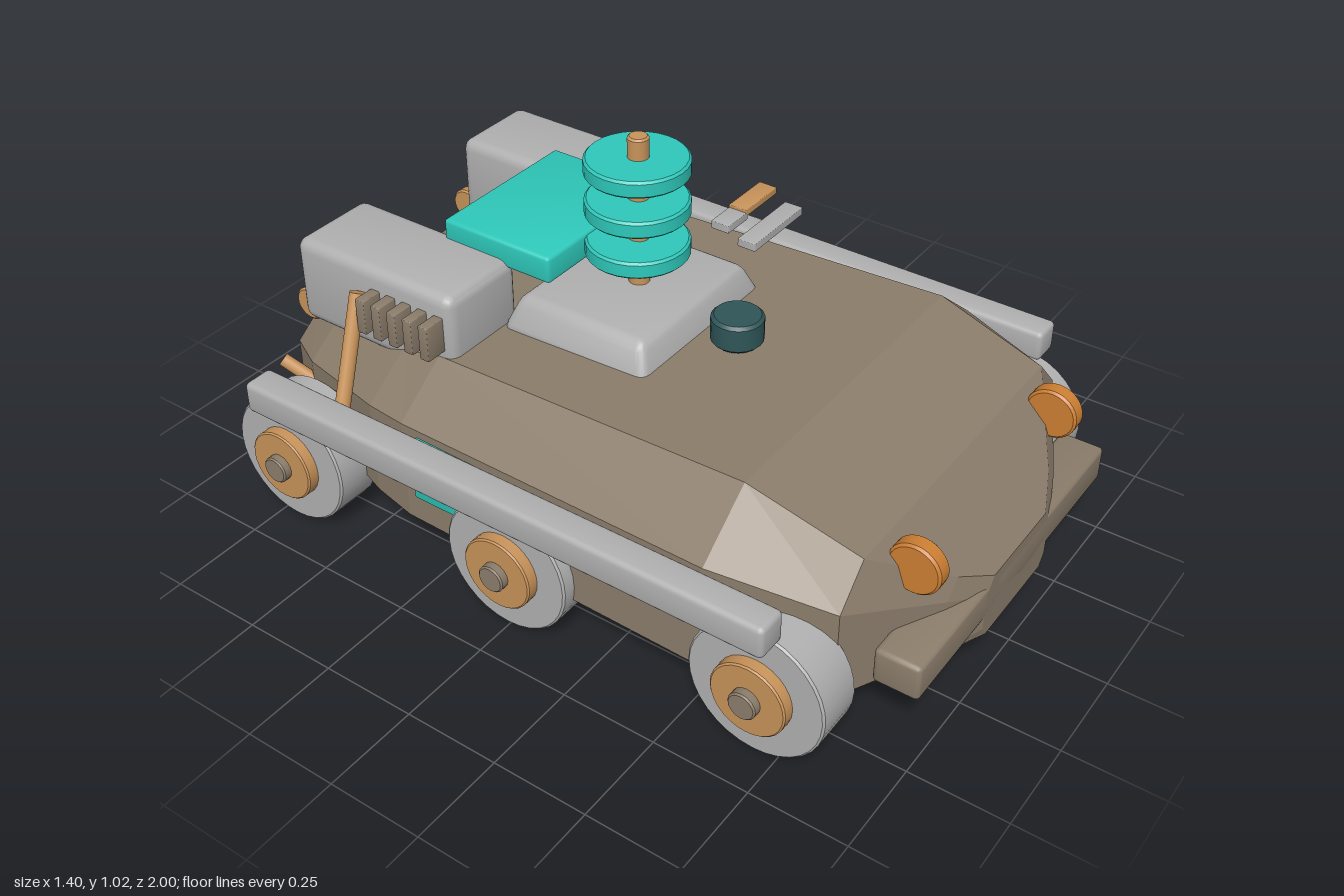
import * as THREE from 'three';
import { RoundedBoxGeometry } from 'three/addons/geometries/RoundedBoxGeometry.js';
import { toCreasedNormals } from 'three/addons/utils/BufferGeometryUtils.js';

const material = (name, color) => {
  const m = new THREE.MeshStandardMaterial({ color });
  m.name = name;
  return m;
};

export function createModel() {
  const group = new THREE.Group();
  const brown = material('hull brown', 0x8b7d6b);
  const grey = material('light grey', 0xb0b0b0);
  const teal = material('teal', 0x2ec8ba);
  const tan = material('tan', 0xc8935a);
  const orange = material('lamp orange', 0xcd7f32);
  const dark = material('dark teal', 0x2f5558);

  const add = (name, geometry, mat, x = 0, y = 0, z = 0) => {
    const mesh = new THREE.Mesh(geometry, mat);
    mesh.name = name;
    mesh.position.set(x, y, z);
    group.add(mesh);
    return mesh;
  };
  // Box given by its lower and upper limits, with small bevels
  const box = (name, mat, [x0, x1], [y0, y1], [z0, z1], bevel = 0.01) =>
    add(name, toCreasedNormals(new RoundedBoxGeometry(x1 - x0, y1 - y0, z1 - z0, 2, bevel), 0.5),
      mat, (x0 + x1) / 2, (y0 + y1) / 2, (z0 + z1) / 2);
  // Upright disc with bevelled rims; axis 'x' lays it on its side
  const disc = (name, mat, r, h, x, y, z, axis = 'y', bevel = 0.006, sides = 28) => {
    const profile = [[0, -h / 2], [r - bevel, -h / 2], [r, -h / 2 + bevel],
      [r, h / 2 - bevel], [r - bevel, h / 2], [0, h / 2]].map(p => new THREE.Vector2(...p));
    const g = toCreasedNormals(new THREE.LatheGeometry(profile, sides), 0.5);
    if (axis === 'x') g.rotateZ(Math.PI / 2);
    return add(name, g, mat, x, y, z);
  };
  // Straight rod between two points
  const rod = (name, mat, from, to, r) => {
    const a = new THREE.Vector3(...from), b = new THREE.Vector3(...to);
    const mesh = add(name, new THREE.CylinderGeometry(r, r, a.distanceTo(b), 12), mat);
    mesh.position.copy(a).lerp(b, 0.5);
    mesh.quaternion.setFromUnitVectors(new THREE.Vector3(0, 1, 0), b.clone().sub(a).normalize());
    return mesh;
  };

  // Hull: faceted cross-sections from nose to tail
  // z, floor y, floor half width, lower side y, side half width, upper side y, deck y, deck half width
  const sections = [
    [0.995, 0.13, 0.14, 0.16, 0.16, 0.26, 0.30, 0.13],
    [0.95, 0.12, 0.23, 0.15, 0.27, 0.30, 0.345, 0.23],
    [0.82, 0.105, 0.42, 0.14, 0.52, 0.38, 0.475, 0.43],
    [0.53, 0.095, 0.52, 0.14, 0.61, 0.43, 0.56, 0.45],
    [-0.35, 0.10, 0.51, 0.14, 0.59, 0.42, 0.53, 0.44],
    [-0.47, 0.105, 0.49, 0.15, 0.57, 0.41, 0.515, 0.42],
    [-0.78, 0.125, 0.38, 0.16, 0.46, 0.35, 0.42, 0.36],
    [-0.92, 0.15, 0.31, 0.18, 0.37, 0.31, 0.36, 0.30],
    [-1.0, 0.18, 0.2, 0.2, 0.24, 0.26, 0.29, 0.21],
  ];
  const rings = sections.map(([z, y0, bw, yl, w, yu, yt, tw]) => {
    const half = [[bw, y0], [w, yl], [w, yu], [tw, yt]];
    const mirrored = half.map(([x, y]) => [-x, y]).reverse();
    return [...half, ...mirrored].map(([x, y]) => [x, y, z]);
  });
  const verts = [];
  const n = rings[0].length;
  for (let s = 0; s < rings.length - 1; s++) {
    for (let i = 0; i < n; i++) {
      const j = (i + 1) % n, a = rings[s], b = rings[s + 1];
      verts.push(...a[i], ...b[i], ...a[j], ...b[i], ...b[j], ...a[j]);
    }
  }
  const first = rings[0], last = rings[rings.length - 1];
  for (let i = 1; i < n - 1; i++) {
    verts.push(...first[0], ...first[i], ...first[i + 1]);
    verts.push(...last[0], ...last[i + 1], ...last[i]);
  }
  const hull = new THREE.BufferGeometry();
  hull.setAttribute('position', new THREE.Float32BufferAttribute(verts, 3));
  hull.computeVertexNormals();
  add('hull', hull, brown);
  box('bumper', brown, [-0.47, 0.47], [0.185, 0.28], [0.88, 0.995], 0.012);

  // Parts repeated on both sides
  for (const s of [-1, 1]) {
    const side = (a, b) => (s > 0 ? [a, b] : [-b, -a]);
    for (const z of [0.69, -0.005, -0.705]) {
      disc('wheel', grey, 0.176, 0.13, s * 0.575, 0.18, z, 'x', 0.005, 32);
      disc('hub', tan, 0.097, 0.06, s * 0.642, 0.18, z, 'x', 0.004);
      disc('hubCap', brown, 0.036, 0.07, s * 0.66, 0.18, z, 'x', 0.004, 16);
      disc('axle', brown, 0.03, 0.1, s * 0.5, 0.17, z, 'x', 0.004, 16);
    }
    box('sideRail', grey, side(0.615, 0.70), [0.345, 0.43], [-0.765, 0.74], 0.014);
    box('sidePanel', teal, side(0.575, 0.613), [0.23, 0.4], [-0.305, 0.12], 0.006);
    box('rearPod', grey, side(0.19, 0.44), [0.465, 0.70], [-0.81, -0.305], 0.03);
    for (let i = 0; i < 5; i++) {
      const z = -0.345 - i * 0.05;
      box('ventSlat', brown, side(0.43, 0.497), [0.55, 0.645], [z - 0.014, z + 0.014], 0.003);
    }
    disc('headlamp', orange, 0.066, 0.045, s * 0.337, 0.433, 0.902, 'x');
    disc('rearLamp', tan, 0.046, 0.034, s * 0.315, 0.41, -0.905, 'x', 0.005);
    rod('strut', tan, [s * 0.46, 0.635, -0.565 + s * 0.02], [s * 0.61, 0.3, -0.565 - s * 0.015], 0.02);
  }
  rod('rearStub', tan, [-0.485, 0.34, -0.86], [-0.45, 0.28, -0.78], 0.018);
  rod('rearStub', tan, [0.49, 0.32, -0.69], [0.47, 0.28, -0.65], 0.016);

  // Turret base: bevelled block narrowing upwards
  const base = new RoundedBoxGeometry(0.52, 0.1, 0.44, 2, 0.025);
  const p = base.attributes.position;
  for (let i = 0; i < p.count; i++) {
    const k = 1 - 0.17 * (p.getY(i) / 0.1 + 0.5);
    p.setXYZ(i, p.getX(i) * k, p.getY(i), p.getZ(i) * k);
  }
  add('turretBase', toCreasedNormals(base, 0.5), grey, -0.005, 0.57, -0.09);

  // Mast with stacked discs, plate and hatch
  disc('mast', tan, 0.027, 0.44, 0, 0.8, -0.075, 'y', 0.005, 16);
  for (const y of [0.722, 0.833, 0.942]) disc('mastDisc', teal, 0.13, 0.045, 0, y, -0.078);
  box('rearPlate', teal, [-0.222, 0.222], [0.68, 0.752], [-0.507, -0.18], 0.01);
  disc('hatch', dark, 0.066, 0.075, 0, 0.5925, 0.215, 'y', 0.008, 20);

  // Side arms beside the turret
  box('upperArm', grey, [0.24, 0.33], [0.667, 0.69], [-0.025, 0.028], 0.003);
  box('upperArmTip', tan, [0.32, 0.466], [0.678, 0.698], [-0.025, 0.028], 0.003);
  box('lowerArm', grey, [0.24, 0.466], [0.642, 0.665], [0.055, 0.108], 0.003);

  return group;
}
